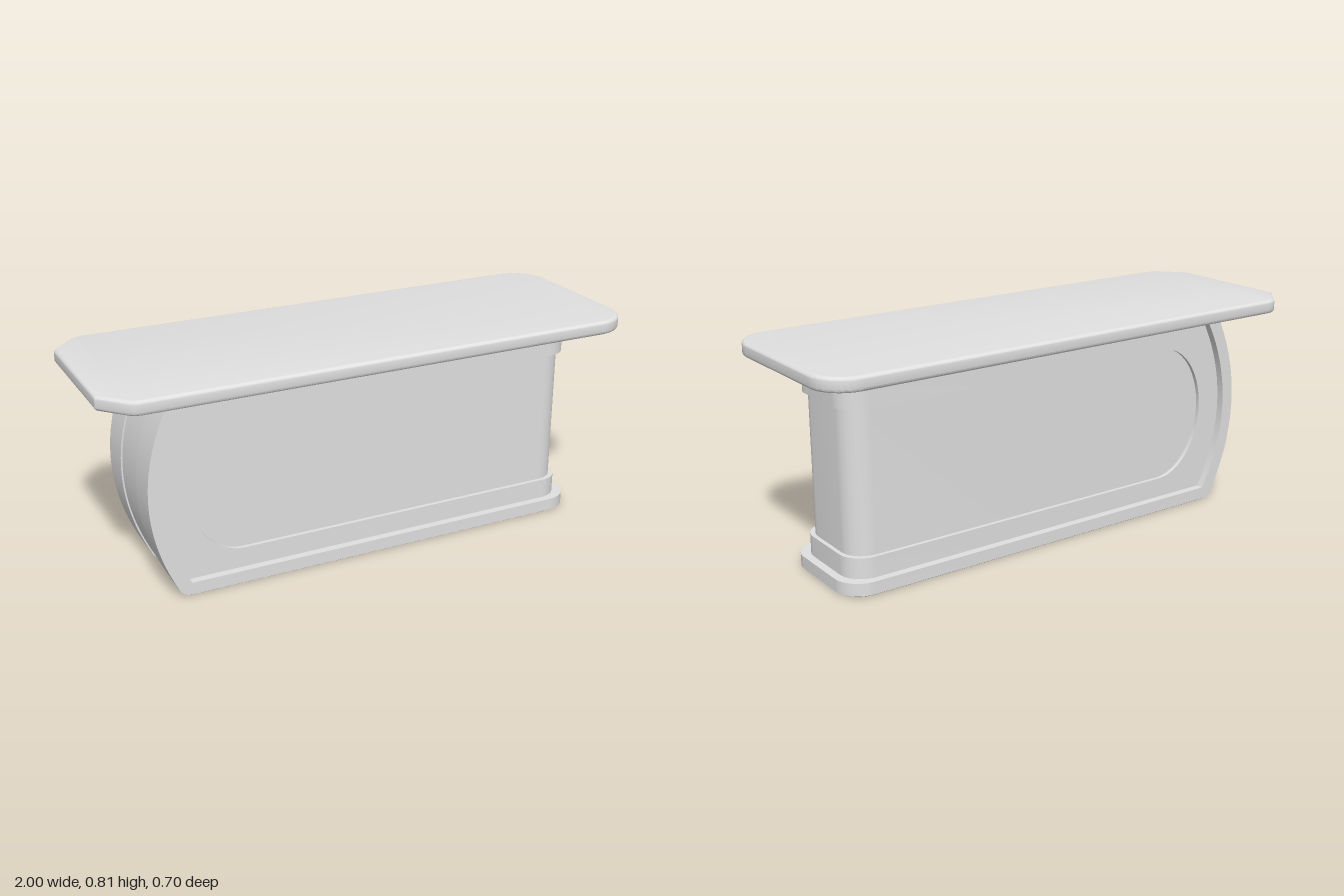
import * as THREE from 'three';
import { toCreasedNormals } from 'three/addons/utils/BufferGeometryUtils.js';

const JOIN = -0.49; // x where the straight runs meet the bowed end

export function createModel() {
  const group = new THREE.Group();
  const grey = new THREE.MeshStandardMaterial({ color: 0xe0e0e0 });
  grey.name = 'pale grey';
  const dark = new THREE.MeshStandardMaterial({ color: 0x787878 });
  dark.name = 'dark grey';

  const add = (name, geometry, material = grey) => {
    const mesh = new THREE.Mesh(toCreasedNormals(geometry, 0.5), material);
    mesh.name = name;
    group.add(mesh);
  };

  // Horizontal slab with its two +x corners rounded, between heights y0 and y1
  const slab = (name, x0, x1, halfZ, radius, y0, y1, material) => {
    const s = new THREE.Shape();
    s.moveTo(x0, -halfZ);
    s.lineTo(x1 - radius, -halfZ);
    s.absarc(x1 - radius, -halfZ + radius, radius, -Math.PI / 2, 0);
    s.lineTo(x1, halfZ - radius);
    s.absarc(x1 - radius, halfZ - radius, radius, 0, Math.PI / 2);
    s.lineTo(x0, halfZ);
    s.closePath();
    const g = new THREE.ExtrudeGeometry(s, { depth: y1 - y0, bevelEnabled: false, curveSegments: 12 });
    add(name, g.rotateX(-Math.PI / 2).translate(0, y0, 0), material);
  };

  // Upright plate drawn in x and y, running from z0 to z1
  const upright = (name, shape, z0, z1) => {
    const g = new THREE.ExtrudeGeometry(shape, { depth: z1 - z0, bevelEnabled: false, curveSegments: 24 });
    add(name, g.translate(0, 0, z0));
  };

  // Outer bowed frame; inset pulls the bow inwards
  const bowFrame = (inset) => {
    const s = new THREE.Shape();
    s.moveTo(JOIN, 0.004);
    s.lineTo(-0.7 + inset, 0.004);
    s.quadraticCurveTo(-0.735 + inset, 0.004, -0.75 + inset, 0.038);
    s.quadraticCurveTo(-0.936 + inset, 0.4, -0.735 + inset, 0.76);
    s.lineTo(JOIN, 0.76);
    s.lineTo(JOIN, 0.716);
    s.lineTo(-0.7, 0.716);
    s.quadraticCurveTo(-0.88, 0.383, -0.7, 0.05);
    s.lineTo(JOIN, 0.05);
    s.closePath();
    return s;
  };
  upright('frontEndFrame', bowFrame(0), 0.085, 0.212);
  upright('backEndFrame', bowFrame(0), -0.212, -0.085);
  upright('endCentrePanel', bowFrame(0.006), -0.085, 0.085);

  // Middle step around the rounded recess
  const step = new THREE.Shape();
  step.moveTo(JOIN, 0.05);
  step.lineTo(-0.7, 0.05);
  step.quadraticCurveTo(-0.88, 0.383, -0.7, 0.716);
  step.lineTo(JOIN, 0.716);
  step.lineTo(JOIN, 0.641);
  step.absellipse(JOIN, 0.383, 0.2, 0.258, Math.PI / 2, Math.PI * 1.5, false);
  step.closePath();
  upright('endStep', step, -0.183, 0.183);

  // Straight bands with rounded corners at the other end
  slab('underside', -0.705, 0.879, 0.206, 0.095, 0, 0.008, dark);
  slab('basePlinth', JOIN, 0.885, 0.212, 0.1, 0.004, 0.05);
  slab('lowerStep', JOIN, 0.855, 0.183, 0.09, 0.05, 0.125);
  slab('core', -0.72, 0.84, 0.168, 0.085, 0.1, 0.68);
  slab('upperStep', JOIN, 0.855, 0.183, 0.09, 0.641, 0.716);
  slab('upperBand', JOIN, 0.885, 0.212, 0.1, 0.716, 0.76);

  // Table top: clipped corners at -x, rounded corners at +x, softened edges
  const b = 0.012, w = 0.35 - b, l = 1 - b, r = 0.115;
  const top = new THREE.Shape();
  top.moveTo(-l, -0.24);
  top.lineTo(-0.91, -w + 0.012);
  top.quadraticCurveTo(-0.895, -w, -0.87, -w);
  top.lineTo(l - r, -w);
  top.absarc(l - r, -w + r, r, -Math.PI / 2, 0);
  top.lineTo(l, w - r);
  top.absarc(l - r, w - r, r, 0, Math.PI / 2);
  top.lineTo(-0.87, w);
  top.quadraticCurveTo(-0.895, w, -0.91, w - 0.012);
  top.lineTo(-l, 0.24);
  top.closePath();
  const topGeometry = new THREE.ExtrudeGeometry(top, {
    depth: 0.051 - 2 * b, bevelThickness: b, bevelSize: b, bevelSegments: 4, curveSegments: 14,
  });
  add('tableTop', topGeometry.rotateX(-Math.PI / 2).translate(0, 0.757 + b, 0));

  return group;
}
